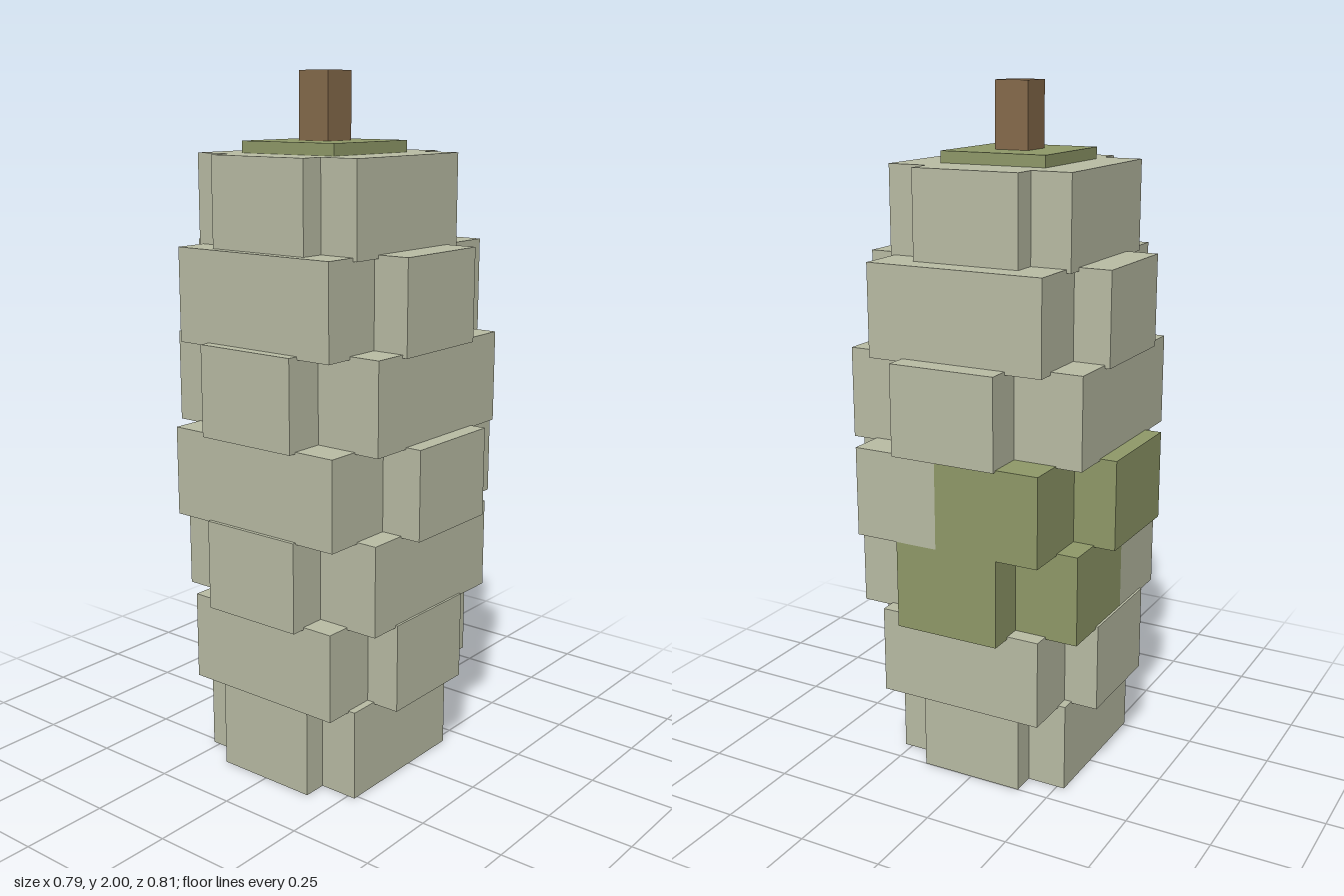
import * as THREE from 'three';

export function createModel() {
  const model = new THREE.Group();
  model.name = 'blockyFruit';

  const mat = (name, color) => {
    const m = new THREE.MeshStandardMaterial({ color });
    m.name = name;
    return m;
  };
  const pale = mat('paleRind', 0xbabda5);
  const green = mat('greenPatch', 0x909a69);
  const brown = mat('stemBrown', 0x866b4b);

  // Box given by its limits on each axis
  const block = (parent, name, material, [x0, x1], [y0, y1], [z0, z1]) => {
    const mesh = new THREE.Mesh(new THREE.BoxGeometry(x1 - x0, y1 - y0, z1 - z0), material);
    mesh.position.set((x0 + x1) / 2, (y0 + y1) / 2, (z0 + z1) / 2);
    mesh.name = name;
    parent.add(mesh);
  };
  const layer = (name) => {
    const g = new THREE.Group();
    g.name = name;
    model.add(g);
    return g;
  };

  // Plain layers: a core running front to back with a bump on each side
  const plainLayers = [
    { name: 'bottomLayer', y: [0, 0.263], core: [-0.264, 0.181], side: [-0.333, 0.25], zCore: 0.273, zSide: 0.157 },
    { name: 'lowerLayer', y: [0.258, 0.515], core: [-0.175, 0.139], side: [-0.345, 0.315], zCore: 0.353, zSide: 0.251 },
    { name: 'upperMiddleLayer', y: [1.015, 1.275], core: [-0.279, 0.277], side: [-0.398, 0.395], zCore: 0.359, zSide: 0.158 },
    { name: 'upperLayer', y: [1.266, 1.53], core: [-0.175, 0.14], side: [-0.366, 0.33], zCore: 0.373, zSide: 0.265 },
    { name: 'topLayer', y: [1.52, 1.78], core: [-0.268, 0.188], side: [-0.339, 0.26], zCore: 0.278, zSide: 0.16 },
  ];
  for (const { name, y, core, side, zCore, zSide } of plainLayers) {
    const g = layer(name);
    block(g, 'core', pale, core, y, [-zCore, zCore]);
    block(g, 'rightBump', pale, [side[0], core[0]], y, [-zSide, zSide]);
    block(g, 'leftBump', pale, [core[1], side[1]], y, [-zSide, zSide]);
  }

  // Third layer: green patch around the back left corner
  const third = layer('lowerMiddleLayer');
  const y3 = [0.508, 0.768];
  block(third, 'coreRight', pale, [-0.27, -0.03], y3, [-0.346, 0.346]);
  block(third, 'coreFront', pale, [-0.03, 0.266], y3, [0, 0.346]);
  block(third, 'corePatch', green, [-0.03, 0.266], y3, [-0.346, 0]);
  block(third, 'rightBump', pale, [-0.386, -0.27], y3, [-0.157, 0.157]);
  block(third, 'leftBumpPatch', green, [0.266, 0.382], y3, [-0.157, 0.157]);

  // Fourth layer: widest front to back, patch wraps onto the back bump
  const fourth = layer('middleLayer');
  const y4 = [0.763, 1.02];
  block(fourth, 'coreFront', pale, [-0.375, 0.383], y4, [0.03, 0.283]);
  block(fourth, 'coreRight', pale, [-0.375, 0], y4, [-0.283, 0.03]);
  block(fourth, 'corePatch', green, [0, 0.383], y4, [-0.283, 0.03]);
  block(fourth, 'frontBump', pale, [-0.154, 0.161], y4, [0.283, 0.406]);
  block(fourth, 'backBumpPatch', green, [-0.154, 0.161], y4, [-0.408, -0.283]);

  // Cap and stem
  block(model, 'cap', green, [-0.214, 0.109], [1.77, 1.813], [-0.162, 0.16]);
  block(model, 'stem', brown, [-0.102, -0.001], [1.8, 2], [-0.052, 0.05]);

  return model;
}
